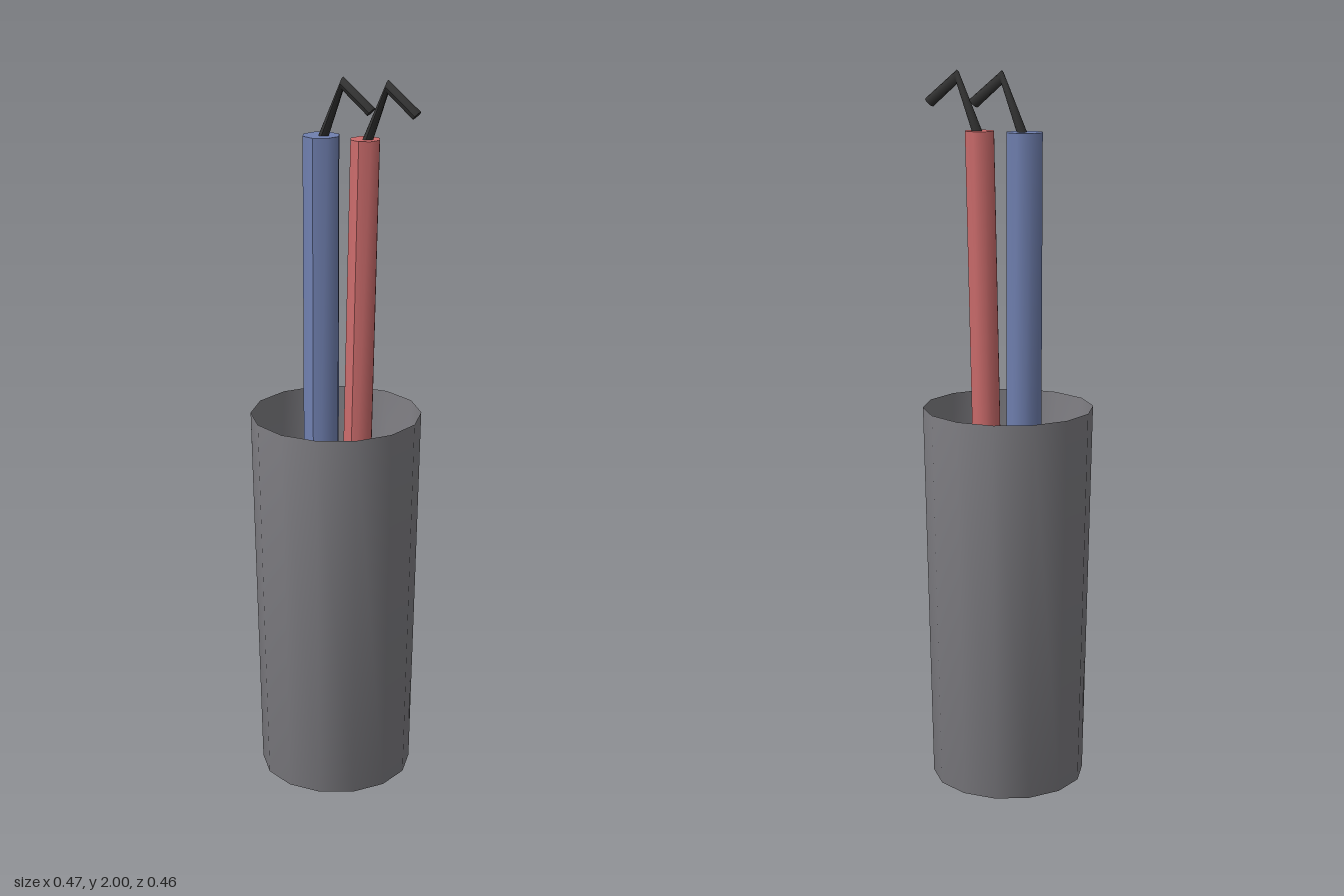
import * as THREE from 'three';

// Rod swept along rings: [x, y, z, sideX, sideY, depth], side = half-width vector in the xy plane
function sweptRod(rings) {
  const last = rings.length - 1;
  const geo = new THREE.CylinderGeometry(1, 1, 1, 8, last);
  const pos = geo.attributes.position;
  for (let i = 0; i < pos.count; i++) {
    const [x, y, z, sx, sy, d] = rings[Math.round((pos.getY(i) + 0.5) * last)];
    const u = pos.getX(i), w = pos.getZ(i);
    pos.setXYZ(i, x + u * sx, y + u * sy, z + w * d);
  }
  geo.computeVertexNormals();
  return geo;
}

export function createModel() {
  const model = new THREE.Group();
  model.name = 'cupWithSticks';

  const grey = new THREE.MeshStandardMaterial({ color: 0x818085, side: THREE.DoubleSide });
  grey.name = 'cupGrey';
  const blue = new THREE.MeshStandardMaterial({ color: 0x7080b0 });
  blue.name = 'stickBlue';
  const red = new THREE.MeshStandardMaterial({ color: 0xcc6c6c });
  red.name = 'stickRed';
  const black = new THREE.MeshStandardMaterial({ color: 0x323232 });
  black.name = 'hookBlack';

  const add = (name, geo, mat) => {
    const mesh = new THREE.Mesh(geo, mat);
    mesh.name = name;
    model.add(mesh);
  };

  // Open tapered cup, thin wall with a floor that blends into the side
  const profile = [[0, 0], [0.216, 0], [0.237, 1.08]].map(([x, y]) => new THREE.Vector2(x, y));
  add('cup', new THREE.LatheGeometry(profile, 14, Math.PI / 2), grey);

  // Two leaning sticks, each with a bent hook on top
  const sticks = [
    { name: 'blue', mat: blue, r: 0.052, foot: -0.047, top: -0.066 },
    { name: 'red', mat: red, r: 0.042, foot: 0.045, top: 0.064 },
  ];
  for (const { name, mat, r, foot, top } of sticks) {
    const z = -0.046;
    add(name + 'Stick', sweptRod([
      [foot, 0.01, 0, r, 0, r],
      [top, 1.84, z, r, 0, r],
    ]), mat);
    add(name + 'Hook', sweptRod([
      [top, 1.82, z, 0.016, 0, 0.015],
      [top + 0.064, 1.982, z, -0.001, -0.018, 0.015],
      [top + 0.147, 1.912, z, -0.011, -0.011, 0.015],
    ]), black);
  }
  return model;
}
